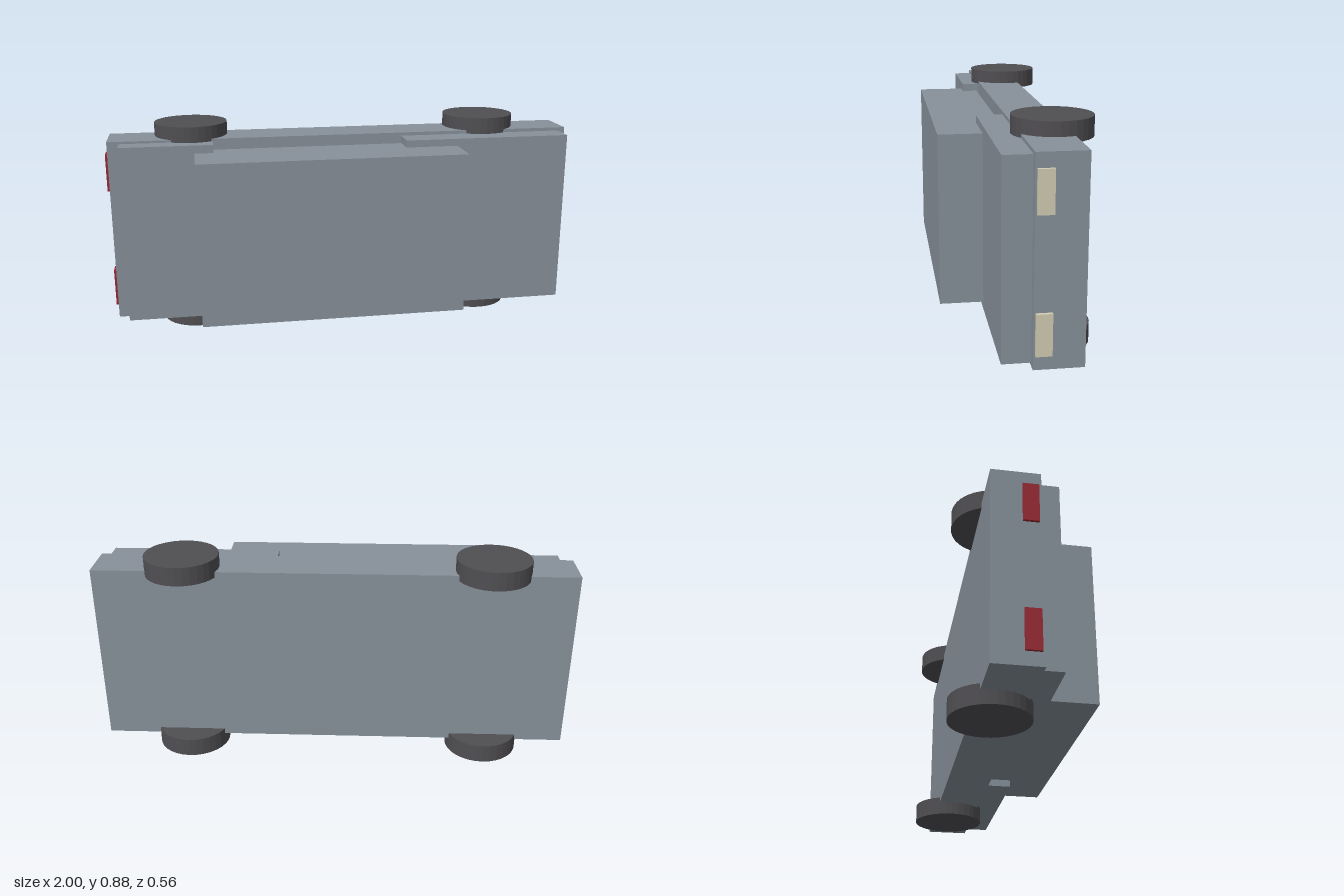
import * as THREE from 'three';

const paint = (name, color) => {
  const m = new THREE.MeshStandardMaterial({ color });
  m.name = name;
  return m;
};

export function createModel() {
  const car = new THREE.Group();
  car.name = 'car';
  const grey = paint('bodyGrey', 0x87919a);
  const rubber = paint('tyreGrey', 0x504e52);
  const cream = paint('headlightCream', 0xd2ccb2);
  const red = paint('tailLightRed', 0x9a2c36);
  const midY = 0.44;

  // Box given by its limits along x, y and z
  const block = (name, mat, [x0, x1], [y0, y1], [z0, z1]) => {
    const mesh = new THREE.Mesh(new THREE.BoxGeometry(x1 - x0, y1 - y0, z1 - z0), mat);
    mesh.position.set((x0 + x1) / 2, (y0 + y1) / 2, (z0 + z1) / 2);
    mesh.name = name;
    car.add(mesh);
  };

  // The car lies on its side: its roof faces +z and its nose +x
  block('chassis', grey, [-0.99, 0.987], [0.056, 0.824], [-0.181, 0.003]);
  block('cabin', grey, [-0.637, 0.466], [0.1, 0.78], [0.014, 0.28]);
  block('hood', grey, [0.244, 0.957], [0.07, 0.81], [0.002, 0.109]);
  block('trunk', grey, [-0.942, -0.56], [0.067, 0.814], [0.002, 0.08]);

  // Lights and wheels, mirrored across the middle of the car
  const rubberWheel = rubber.clone();
  rubberWheel.flatShading = true;
  for (const side of [-1, 1]) {
    const y = midY + side * 0.252;
    block('headlight', cream, [0.98, 1], [y - 0.078, y + 0.078], [-0.063, -0.004]);
    block('tailLight', red, [-1, -0.98], [y - 0.078, y + 0.078], [-0.066, -0.007]);
    for (const x of [-0.647, 0.621]) {
      const wheel = new THREE.Mesh(new THREE.CylinderGeometry(0.153, 0.153, 0.078, 32), rubberWheel);
      wheel.position.set(x, midY + side * 0.4, -0.125);
      wheel.name = 'wheel';
      car.add(wheel);
    }
  }
  return car;
}
